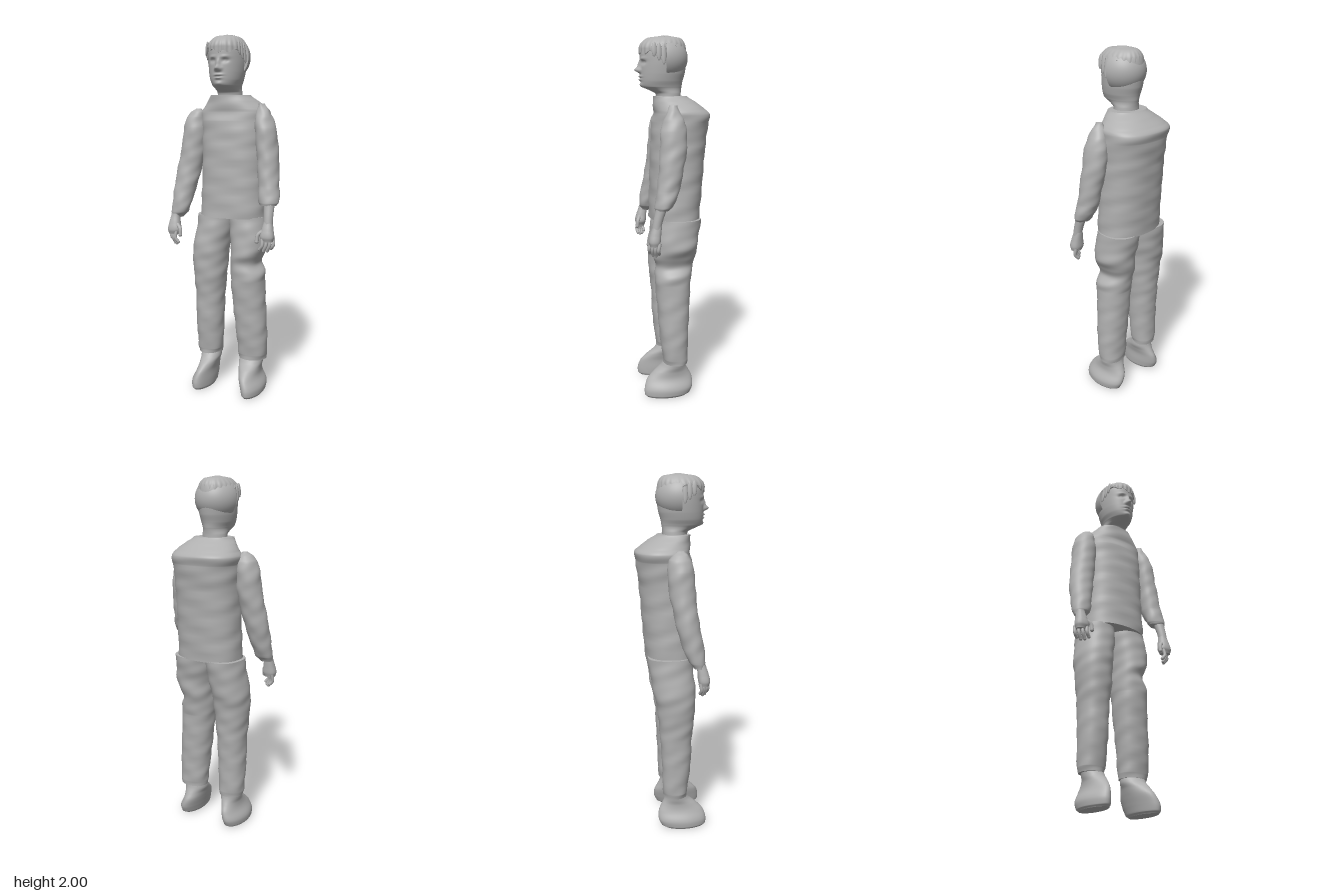
import * as THREE from 'three';

const grey = new THREE.MeshStandardMaterial({ color: 0xb0b0b0, side: THREE.DoubleSide });
grey.name = 'plain grey';

const cat = (a, b, c, d, t) =>
  0.5 * (2 * b + (c - a) * t + (2 * a - 5 * b + 4 * c - d) * t * t + (3 * b - a - 3 * c + d) * t * t * t);

// Smooth skin over horizontal rounded sections, each row [y, xMin, xMax, zMin, zMax]
function loft(rows, { seg = 40, steps = 6, power = 2, warp = null } = {}) {
  const pos = [], idx = [], n = rows.length;
  const row = i => rows[Math.max(0, Math.min(n - 1, i))];
  const total = (n - 1) * steps;
  const ease = v => Math.sign(v) * Math.pow(Math.abs(v), 2 / power);
  for (let k = 0; k <= total; k++) {
    const i = Math.min(n - 2, Math.floor(k / steps)), t = k / steps - i;
    const [y, x0, x1, z0, z1] = rows[0].map((_, c) => c === 0
      ? row(i)[0] + (row(i + 1)[0] - row(i)[0]) * t
      : cat(row(i - 1)[c], row(i)[c], row(i + 1)[c], row(i + 2)[c], t));
    for (let j = 0; j < seg; j++) {
      const a = j / seg * Math.PI * 2;
      const p = new THREE.Vector3(
        (x0 + x1) / 2 + (x1 - x0) / 2 * ease(Math.cos(a)), y,
        (z0 + z1) / 2 + (z1 - z0) / 2 * ease(Math.sin(a)));
      if (warp) warp(p, a);
      pos.push(p.x, p.y, p.z);
    }
  }
  for (let k = 0; k < total; k++) for (let j = 0; j < seg; j++) {
    const a = k * seg + j, b = k * seg + (j + 1) % seg;
    idx.push(a, a + seg, b, b, a + seg, b + seg);
  }
  // End caps with their own rim, so the edge stays crisp
  for (const k of [0, total]) {
    const start = pos.length / 3, mid = [0, 0, 0];
    for (let j = 0; j < seg; j++) for (let c = 0; c < 3; c++) {
      const v = pos[(k * seg + j) * 3 + c];
      pos.push(v);
      mid[c] += v / seg;
    }
    pos.push(...mid);
    for (let j = 0; j < seg; j++) {
      const a = start + j, b = start + (j + 1) % seg;
      if (k === 0) idx.push(start + seg, a, b); else idx.push(start + seg, b, a);
    }
  }
  const g = new THREE.BufferGeometry();
  g.setAttribute('position', new THREE.Float32BufferAttribute(pos, 3));
  g.setIndex(idx);
  g.computeVertexNormals();
  return g;
}

// Soft cloth wrinkles
const wrinkle = amount => (p, a) => {
  const w = amount * (Math.sin(p.y * 47 + Math.sin(a * 2) * 2) + 0.6 * Math.sin(p.y * 83 + a * 3));
  p.x += Math.cos(a) * w;
  p.z += Math.sin(a) * w;
};

// Face relief: [x, y, xSpread, ySpread, depth]
const features = [
  [0, 1.818, 0.013, 0.013, 0.030], [0, 1.845, 0.010, 0.022, 0.014],
  [-0.016, 1.814, 0.008, 0.008, 0.008], [0.016, 1.814, 0.008, 0.008, 0.008],
  [-0.036, 1.858, 0.017, 0.010, -0.013], [0.036, 1.858, 0.017, 0.010, -0.013],
  [-0.036, 1.857, 0.008, 0.005, 0.007], [0.036, 1.857, 0.008, 0.005, 0.007],
  [-0.036, 1.877, 0.022, 0.007, 0.006], [0.036, 1.877, 0.022, 0.007, 0.006],
  [0, 1.784, 0.022, 0.006, 0.012], [0, 1.768, 0.018, 0.006, 0.011],
  [0, 1.776, 0.024, 0.003, -0.006], [0, 1.738, 0.020, 0.012, 0.009],
];
function faceRelief(p, a) {
  if (Math.sin(a) <= 0.1) return;
  const dx = p.x - 0.01;
  for (const [x, y, sx, sy, d] of features)
    p.z += d * Math.exp(-(((dx - x) / sx) ** 2) - ((p.y - y) / sy) ** 2);
}

export function createModel() {
  const model = new THREE.Group();
  model.name = 'standingMan';
  const add = (name, geo, parent = model) => {
    const m = new THREE.Mesh(geo, grey);
    m.name = name;
    parent.add(m);
    return m;
  };

  // Shirt body
  add('torso', loft([
    [1.01, -0.17, 0.21, -0.15, 0.13], [1.2, -0.165, 0.205, -0.165, 0.125],
    [1.4, -0.165, 0.205, -0.18, 0.12], [1.54, -0.175, 0.21, -0.197, 0.11],
    [1.585, -0.185, 0.213, -0.205, 0.10], [1.61, -0.165, 0.198, -0.18, 0.10],
    [1.65, -0.125, 0.155, -0.125, 0.10], [1.68, -0.10, 0.12, -0.08, 0.10],
  ], { seg: 64, steps: 8, power: 2.3, warp: wrinkle(0.0018) }));

  // Head and neck
  add('head', loft([
    [1.66, -0.06, 0.08, -0.05, 0.085], [1.695, -0.058, 0.078, -0.05, 0.09],
    [1.715, -0.058, 0.078, -0.052, 0.13], [1.73, -0.063, 0.083, -0.055, 0.162],
    [1.76, -0.076, 0.094, -0.06, 0.17], [1.80, -0.085, 0.102, -0.072, 0.172],
    [1.86, -0.09, 0.107, -0.08, 0.172], [1.92, -0.088, 0.105, -0.08, 0.172],
    [1.96, -0.075, 0.092, -0.07, 0.155], [1.985, -0.05, 0.067, -0.045, 0.125],
    [1.995, -0.004, 0.014, 0.02, 0.05],
  ], { seg: 112, steps: 9, warp: faceRelief }));

  // Front hair with combed strands and a ragged hairline
  add('frontHair', loft([
    [1.915, -0.093, 0.112, -0.075, 0.176], [1.94, -0.09, 0.108, -0.075, 0.176],
    [1.965, -0.078, 0.096, -0.068, 0.162], [1.988, -0.052, 0.07, -0.045, 0.128],
    [2.0, -0.004, 0.014, 0.02, 0.05],
  ], {
    seg: 120, steps: 5, warp: (p, a) => {
      const r = 0.003 * Math.sin(a * 23) * (2 - p.y) / 0.085;
      p.x += Math.cos(a) * r;
      p.z += Math.sin(a) * r;
      if (p.y < 1.93) p.y += 0.007 * Math.sin(a * 11) + 0.012 * Math.cos(a * 2 + 0.6);
    },
  }));

  // Wider half shell over the back of the head
  const backHair = new THREE.Group();
  backHair.name = 'backHair';
  backHair.position.set(0.01, 1.88, 0.045);
  backHair.scale.set(0.12, 0.12, 0.132);
  model.add(backHair);
  add('backHairShell', new THREE.SphereGeometry(1, 32, 32, Math.PI, Math.PI), backHair);
  add('backHairEdge', new THREE.CircleGeometry(1, 48), backHair);

  // Sideburn strands
  for (const s of [-1, 1]) for (let i = 0; i < 3; i++) {
    const lock = add('sideLock', new THREE.SphereGeometry(1, 10, 10));
    lock.scale.set(0.007, 0.055 - i * 0.008, 0.014);
    lock.position.set(0.01 + s * (0.103 - i * 0.004), 1.9 + i * 0.012, 0.06 + i * 0.025);
    lock.rotation.z = s * 0.12;
  }

  // Sleeves
  add('rightSleeve', loft([
    [1.0, -0.31, -0.245, 0.085, 0.135], [1.03, -0.315, -0.215, 0.06, 0.148],
    [1.1, -0.312, -0.198, 0.03, 0.143], [1.2, -0.308, -0.175, 0, 0.125],
    [1.3, -0.295, -0.155, -0.02, 0.11], [1.4, -0.278, -0.14, -0.04, 0.102],
    [1.5, -0.268, -0.135, -0.045, 0.095], [1.56, -0.25, -0.14, -0.04, 0.08],
    [1.59, -0.225, -0.15, -0.015, 0.065], [1.608, -0.195, -0.165, 0.01, 0.045],
  ], { warp: wrinkle(0.0015) }));
  add('leftSleeve', loft([
    [1.095, 0.222, 0.315, 0.06, 0.132], [1.11, 0.215, 0.325, 0.045, 0.135],
    [1.15, 0.208, 0.325, 0.02, 0.13], [1.2, 0.2, 0.315, 0, 0.12],
    [1.3, 0.19, 0.308, -0.02, 0.11], [1.4, 0.178, 0.296, -0.04, 0.102],
    [1.5, 0.168, 0.282, -0.042, 0.097], [1.56, 0.168, 0.262, -0.03, 0.08],
    [1.6, 0.172, 0.24, -0.01, 0.06], [1.635, 0.185, 0.215, 0.005, 0.045],
  ], { warp: wrinkle(0.0015) }));
  add('leftForearm', loft([
    [0.96, 0.26, 0.31, 0.105, 0.155], [1.02, 0.258, 0.308, 0.10, 0.15],
    [1.12, 0.248, 0.308, 0.07, 0.13],
  ], { seg: 20 }));

  // Hands: palm, four curled fingers and a thumb, built for the left and mirrored
  const digit = (name, parent, radius, ...pts) => {
    const v = pts.map(p => new THREE.Vector3(...p));
    add(name, new THREE.TubeGeometry(new THREE.CatmullRomCurve3(v), 10, radius, 8), parent);
    const tip = add(name + 'Tip', new THREE.SphereGeometry(radius, 10, 8), parent);
    tip.position.copy(v[v.length - 1]);
  };
  for (const [side, x, s] of [['left', 0.275, 1], ['right', -0.275, -1]]) {
    const hand = new THREE.Group();
    hand.name = side + 'Hand';
    hand.position.x = x;
    hand.scale.x = s;
    model.add(hand);
    add('palm', loft([
      [0.905, -0.02, 0.04, 0.115, 0.165], [0.93, -0.032, 0.046, 0.108, 0.172],
      [0.965, -0.025, 0.04, 0.105, 0.165], [1.02, -0.015, 0.03, 0.10, 0.148],
    ], { seg: 20, power: 2.4 }), hand);
    for (let i = 0; i < 4; i++) {
      const fx = 0.034 - i * 0.016, fz = 0.115 + i * 0.014, drop = [0.012, 0, 0, 0.01][i];
      digit('finger', hand, 0.0095, [fx, 0.925, fz], [fx + 0.003, 0.885, fz + 0.008],
        [fx - 0.012, 0.853 + drop, fz + 0.003]);
    }
    digit('thumb', hand, 0.011, [-0.01, 0.965, 0.145], [-0.038, 0.94, 0.16], [-0.042, 0.905, 0.165]);
  }

  // Trouser legs
  const cloth = { seg: 44, power: 2.2, warp: wrinkle(0.0016) };
  add('rightTrouserLeg', loft([
    [0.19, -0.185, -0.055, -0.063, 0.07], [0.22, -0.193, -0.048, -0.066, 0.075],
    [0.4, -0.198, -0.04, -0.07, 0.095], [0.55, -0.2, -0.035, -0.08, 0.10],
    [0.65, -0.208, -0.025, -0.088, 0.112], [0.75, -0.215, -0.018, -0.10, 0.117],
    [0.82, -0.215, -0.013, -0.117, 0.12], [0.92, -0.2, 0.005, -0.132, 0.11],
    [1.015, -0.19, 0.012, -0.145, 0.10],
  ], cloth));
  add('leftTrouserLeg', loft([
    [0.19, 0.068, 0.225, -0.063, 0.07], [0.22, 0.063, 0.23, -0.066, 0.075],
    [0.35, 0.052, 0.23, -0.07, 0.09], [0.5, 0.036, 0.222, -0.078, 0.10],
    [0.65, 0.025, 0.215, -0.085, 0.112], [0.7, 0.022, 0.214, -0.092, 0.112],
    [0.75, 0.022, 0.187, -0.10, 0.108], [0.8, 0.022, 0.205, -0.115, 0.12],
    [0.86, 0.02, 0.232, -0.12, 0.114], [0.93, 0.01, 0.226, -0.132, 0.11],
    [1.015, 0.003, 0.22, -0.145, 0.10],
  ], cloth));

  // Shoes, tapering towards the toe
  const taper = cx => p => { p.x = cx + (p.x - cx) * (1 - Math.max(0, p.z - 0.08) * 1.2); };
  add('rightShoe', loft([
    [0, -0.188, -0.085, -0.055, 0.17], [0.012, -0.196, -0.08, -0.075, 0.182],
    [0.05, -0.196, -0.077, -0.092, 0.183], [0.1, -0.172, -0.076, -0.09, 0.165],
    [0.14, -0.165, -0.065, -0.07, 0.125], [0.17, -0.17, -0.055, -0.056, 0.085],
    [0.21, -0.175, -0.058, -0.05, 0.06],
  ], { warp: taper(-0.135) }));
  add('leftShoe', loft([
    [0, 0.125, 0.222, -0.055, 0.17], [0.012, 0.115, 0.23, -0.075, 0.182],
    [0.05, 0.105, 0.23, -0.092, 0.183], [0.1, 0.092, 0.205, -0.09, 0.165],
    [0.14, 0.082, 0.203, -0.07, 0.125], [0.17, 0.072, 0.21, -0.056, 0.085],
    [0.21, 0.076, 0.215, -0.05, 0.06],
  ], { warp: taper(0.17) }));

  return model;
}
